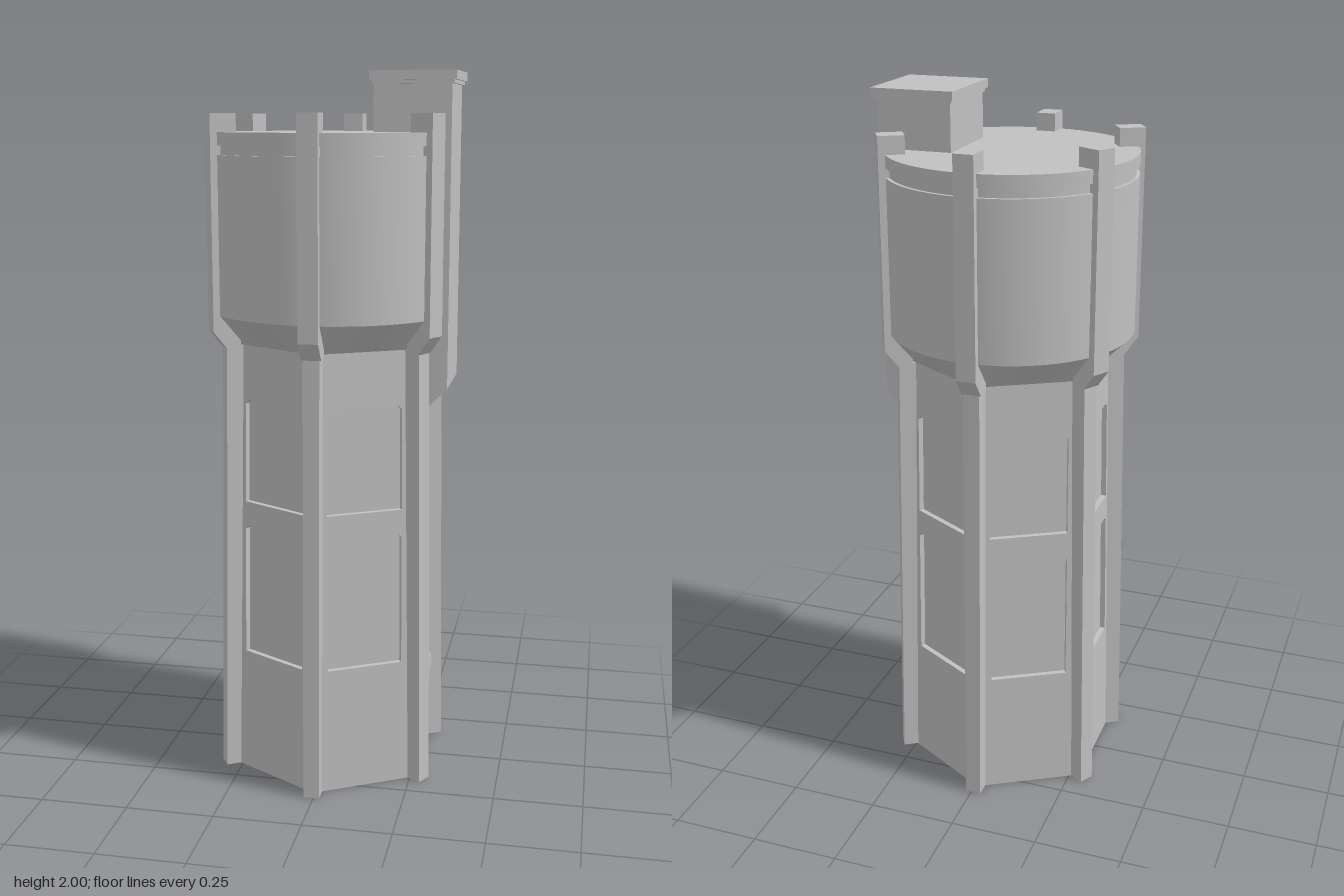
import * as THREE from 'three';
import { toCreasedNormals } from 'three/addons/utils/BufferGeometryUtils.js';

const SHAFT_H = 1.26, BASE_A = 0.273, TOP_A = 0.25; // wall distance from axis at base and top
const WALL_T = 0.015, TANK_R = 0.344, TANK_Y = 1.345;
const TAN30 = Math.tan(Math.PI / 6), COS30 = Math.cos(Math.PI / 6);

const polygon = (pts) => new THREE.Shape(pts.map(([x, y]) => new THREE.Vector2(x, y)));

// Extrude a profile of [x, y] points, centred on z
function slab(pts, width) {
  const g = new THREE.ExtrudeGeometry(polygon(pts), { depth: width, bevelEnabled: false });
  return g.translate(0, 0, -width / 2);
}

// Recess outline with slightly clipped upper corners
function recess(half, y0, y1) {
  const c = 0.01;
  return polygon([[-half, y0], [half, y0], [half, y1 - c], [half - c, y1], [c - half, y1], [-half, y1 - c]]);
}

export function createModel() {
  const group = new THREE.Group();
  const tower = new THREE.Group();
  tower.name = 'tower';
  tower.position.x = -0.006;
  group.add(tower);
  const concrete = new THREE.MeshStandardMaterial({ color: 0xc0c0c0 });
  concrete.name = 'concrete grey';

  function add(name, geometry, parent = tower) {
    const mesh = new THREE.Mesh(toCreasedNormals(geometry, 0.4), concrete);
    mesh.name = name;
    parent.add(mesh);
    return mesh;
  }

  // Hexagonal core, which forms the back of the recesses
  const core = new THREE.CylinderGeometry((TOP_A - WALL_T) / COS30, (BASE_A - WALL_T) / COS30, SHAFT_H, 6);
  add('shaftCore', core.translate(0, SHAFT_H / 2, 0));

  // Six leaning walls with recessed panels; the one facing +x also has a door
  const lean = (BASE_A - TOP_A) / SHAFT_H;
  const shear = new THREE.Matrix4().set(1, 0, 0, 0, 0, 1, 0, 0, 0, -lean, 1, BASE_A - WALL_T, 0, 0, 0, 1);
  for (let i = 0; i < 6; i++) {
    const b = BASE_A * TAN30, t = TOP_A * TAN30;
    const wall = polygon([[-b, 0], [b, 0], [t, SHAFT_H], [-t, SHAFT_H]]);
    wall.holes.push(recess(0.11, 0.36, 0.74), recess(0.11, 0.81, 1.105));
    if (i === 1) wall.holes.push(polygon([[-0.06, 0.075], [0.06, 0.075], [0.06, 0.21], [-0.06, 0.21]]));
    const g = new THREE.ExtrudeGeometry(wall, { depth: WALL_T, bevelEnabled: false }).applyMatrix4(shear);
    add('wallPanel', g).rotation.y = Math.PI / 6 + i * Math.PI / 3;
  }

  // Corner ribs: tapering below, thicker and straight beside the tank
  const lowerRib = [[0.27, 0], [0.345, 0], [0.323, SHAFT_H], [0.25, SHAFT_H]];
  const upperRib = [[0.285, 1.25], [0.323, 1.25], [0.362, 1.3], [0.362, 1.89], [0.29, 1.89]];
  for (let i = 0; i < 6; i++) {
    const rib = new THREE.Group();
    rib.name = 'cornerRib';
    rib.rotation.y = -Math.PI / 2 + i * Math.PI / 3;
    add('lowerRib', slab(lowerRib, 0.045), rib);
    add('upperRib', slab(upperRib, 0.055), rib);
    tower.add(rib);
  }

  // Tank underside: a round top edge blending into the hexagon
  const flareH = TANK_Y - SHAFT_H;
  const flare = new THREE.CylinderGeometry(TANK_R, TANK_R, flareH, 72, 1, true);
  const p = flare.attributes.position;
  for (let i = 0; i < p.count; i++) {
    if (p.getY(i) > 0) continue;
    const angle = Math.atan2(p.getX(i), p.getZ(i)) + 2 * Math.PI;
    const r = TOP_A / Math.cos((angle % (Math.PI / 3)) - Math.PI / 6);
    p.setX(i, r * Math.sin(angle));
    p.setZ(i, r * Math.cos(angle));
  }
  add('tankFlare', flare.translate(0, SHAFT_H + flareH / 2, 0));

  // Tank with a groove under its flat lid
  const profile = [[TANK_R, TANK_Y], [TANK_R, 1.78], [0.334, 1.78], [0.334, 1.805],
    [TANK_R, 1.805], [TANK_R, 1.84], [0, 1.84]].map(([x, y]) => new THREE.Vector2(x, y));
  add('tank', new THREE.LatheGeometry(profile, 72));

  // Stair turret on the +x side with a sloped foot, and its roof slab
  const turret = slab([[0.126, 0.941], [0.335, 1.15], [0.335, 1.97], [0.126, 1.97]], 0.242);
  add('stairTurret', turret.translate(0, 0, 0.011), group);
  const lip = new THREE.BoxGeometry(0.221, 0.012, 0.254).translate(0.2315, 1.972, 0.011);
  add('turretRoofLip', lip, group);
  const roof = new THREE.BoxGeometry(0.233, 0.024, 0.266).translate(0.2315, 1.988, 0.011);
  add('turretRoof', roof, group);

  // Small gabled hood above the door, its underside sloping up to the front
  const hood = slab([[-0.035, 0.25], [0.035, 0.25], [0.035, 0.3], [0, 0.325], [-0.035, 0.3]], 0.04);
  const h = hood.attributes.position;
  for (let i = 0; i < h.count; i++) {
    if (h.getZ(i) > 0 && h.getY(i) < 0.26) h.setY(i, 0.272);
  }
  add('doorHood', hood.rotateY(Math.PI / 2).translate(0.27, 0, 0));

  return group;
}
